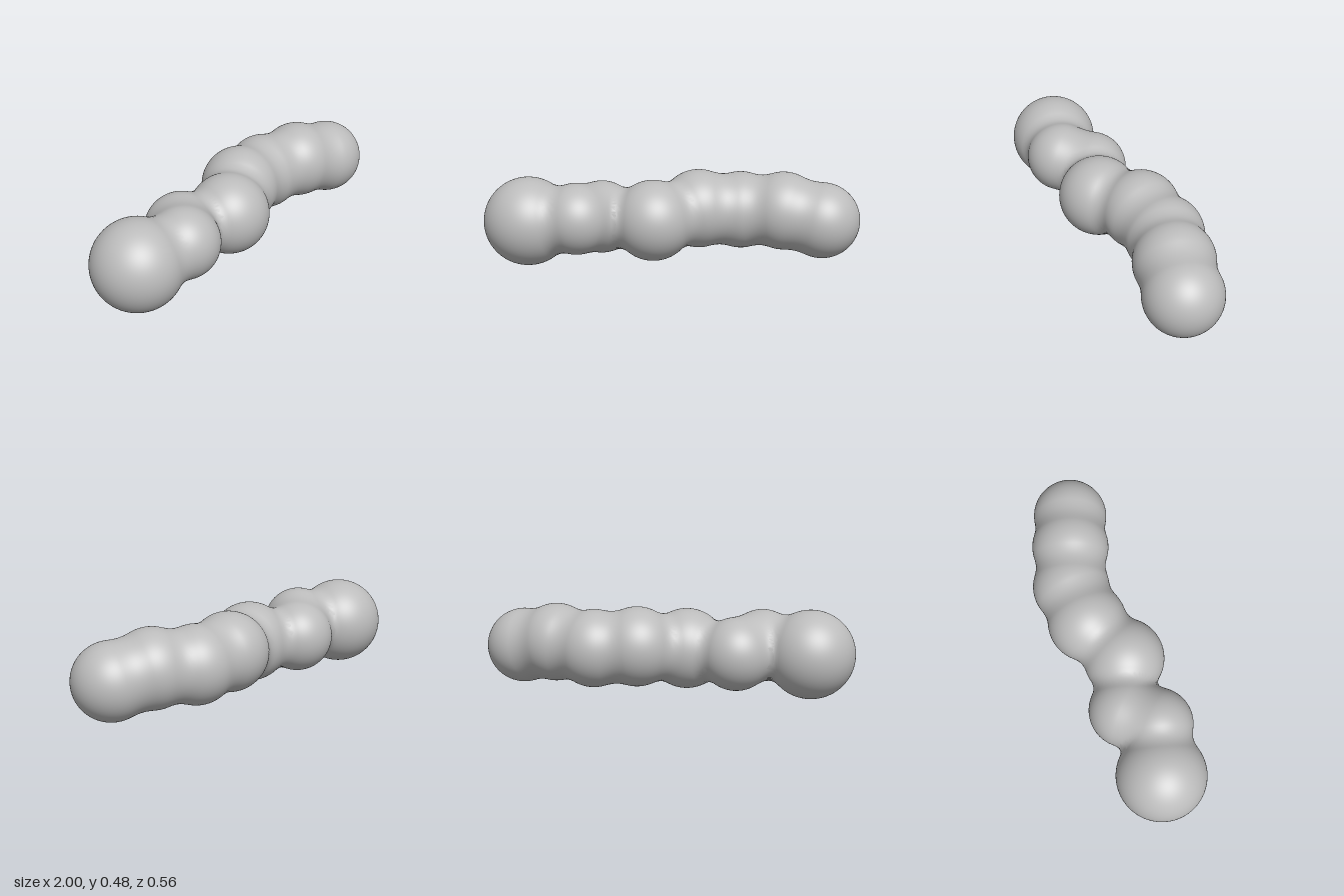
import * as THREE from 'three';

// Lobes of the chain: x, y, z, radius
const LOBES = [
  [-0.765, 0.236, -0.02, 0.235],
  [-0.51, 0.266, 0.06, 0.189],
  [-0.375, 0.237, -0.06, 0.194],
  [-0.105, 0.24, 0.04, 0.215],
  [0.15, 0.267, -0.07, 0.212],
  [0.38, 0.253, -0.075, 0.208],
  [0.6, 0.265, 0.005, 0.21],
  [0.796, 0.228, 0.077, 0.203],
].map(([x, y, z, r]) => ({ center: new THREE.Vector3(x, y, z), r }));

const BLEND = 0.06;

// Signed distance to the softly blended chain
function field(p) {
  let d = Infinity;
  for (const { center, r } of LOBES) {
    const e = p.distanceTo(center) - r;
    const h = Math.max(BLEND - Math.abs(d - e), 0);
    d = Math.min(d, e) - (h * h) / (4 * BLEND);
  }
  return d;
}

// Outward normal from the slope of the field
function fieldNormal(p) {
  const e = 0.002;
  const slope = (x, y, z) =>
    field(new THREE.Vector3(p.x + x, p.y + y, p.z + z)) -
    field(new THREE.Vector3(p.x - x, p.y - y, p.z - z));
  return new THREE.Vector3(slope(e, 0, 0), slope(0, e, 0), slope(0, 0, e)).normalize();
}

// Sphere whose skin swells outward into the fillets beside its neighbours
function lobeGeometry({ center, r }) {
  const geometry = new THREE.SphereGeometry(1, 80, 56);
  const pos = geometry.attributes.position;
  const normal = geometry.attributes.normal;
  const depth = [];
  const dir = new THREE.Vector3();
  const p = new THREE.Vector3();
  for (let i = 0; i < pos.count; i++) {
    dir.fromBufferAttribute(pos, i).normalize();
    let t = r;
    for (let step = 0; step < 10; step++) {
      p.copy(center).addScaledVector(dir, t);
      t = Math.min(t - Math.min(field(p), 0), r + 0.05);
    }
    p.copy(center).addScaledVector(dir, t);
    depth.push(field(p));
    const n = fieldNormal(p);
    pos.setXYZ(i, p.x, p.y, p.z);
    normal.setXYZ(i, n.x, n.y, n.z);
  }
  // Leave out the faces buried inside the neighbours
  const kept = [];
  const index = geometry.index.array;
  for (let i = 0; i < index.length; i += 3) {
    const tri = [index[i], index[i + 1], index[i + 2]];
    if (tri.some((v) => depth[v] > -0.01)) kept.push(...tri);
  }
  geometry.setIndex(kept);
  return geometry;
}

export function createModel() {
  const group = new THREE.Group();
  group.name = 'blendedChain';
  const grey = new THREE.MeshStandardMaterial({ color: 0xbcbcbc });
  grey.name = 'grey';
  LOBES.forEach((lobe, i) => {
    const mesh = new THREE.Mesh(lobeGeometry(lobe), grey);
    mesh.name = `lobe${i + 1}`;
    group.add(mesh);
  });
  return group;
}
